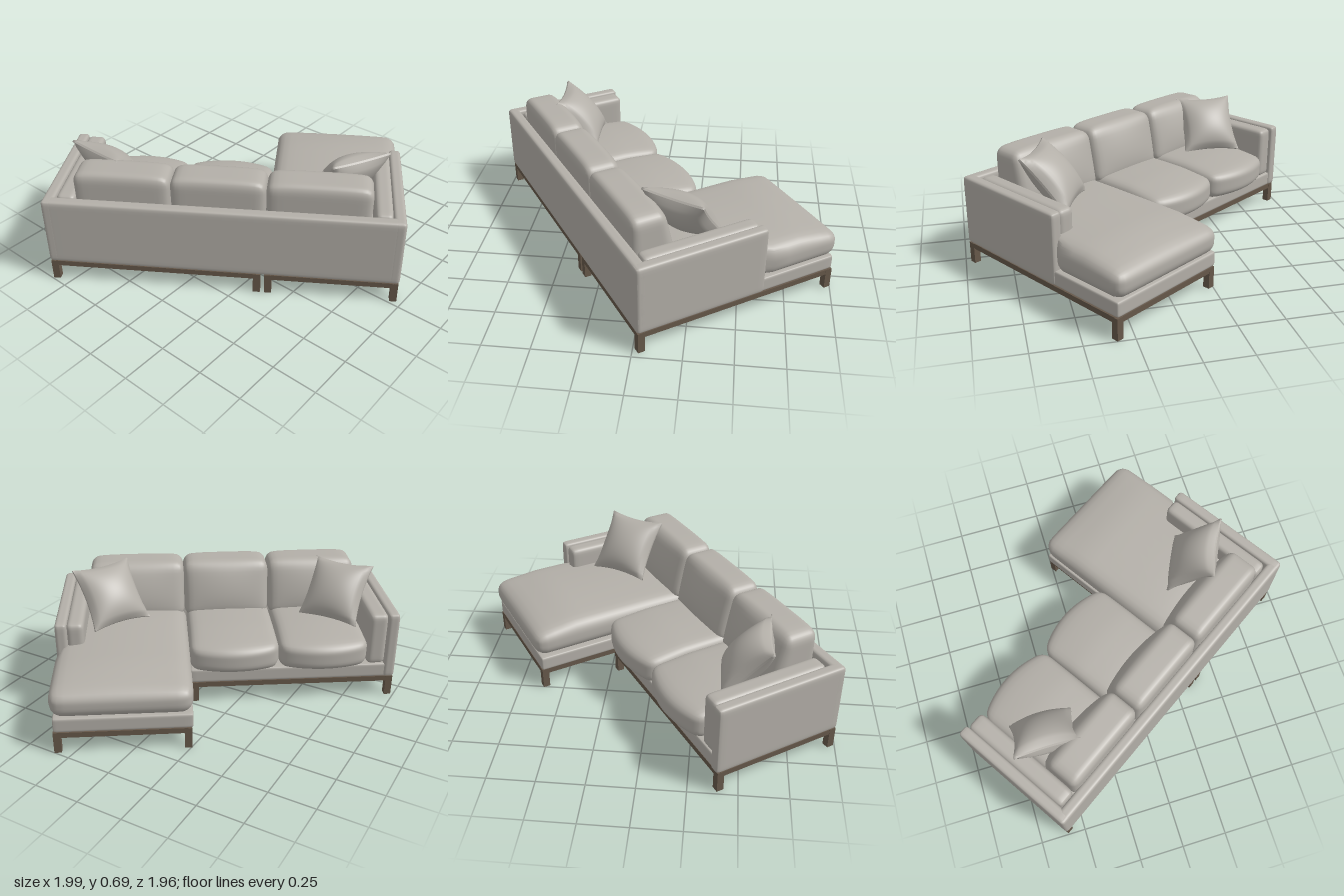
import * as THREE from 'three';
import { mergeVertices } from 'three/addons/utils/BufferGeometryUtils.js';

const fabric = new THREE.MeshStandardMaterial({ color: 0xb3afa8 });
fabric.name = 'warm grey fabric';
const wood = new THREE.MeshStandardMaterial({ color: 0x66584a });
wood.name = 'dark wood';

// Subdivided box whose points are moved by a rule, with smooth normals
function moulded(segments, rule) {
  let geo = new THREE.BoxGeometry(2, 2, 2, segments, segments, segments);
  const pos = geo.attributes.position;
  const p = new THREE.Vector3();
  for (let i = 0; i < pos.count; i++) {
    p.fromBufferAttribute(pos, i);
    rule(p);
    pos.setXYZ(i, p.x, p.y, p.z);
  }
  geo.deleteAttribute('uv');
  geo.deleteAttribute('normal');
  geo = mergeVertices(geo, 1e-5);
  geo.computeVertexNormals();
  return geo;
}

// Rounded block between two corners; shape(p, u) bends it, u runs -1..1 on each axis
function soft(name, min, max, radius, shape) {
  const lo = new THREE.Vector3(...min), hi = new THREE.Vector3(...max);
  const mid = lo.clone().add(hi).multiplyScalar(0.5);
  const half = hi.clone().sub(lo).multiplyScalar(0.5);
  const inner = half.clone().subScalar(radius);
  const core = new THREE.Vector3();
  const geo = moulded(18, (p) => {
    // gather the grid lines towards the edges
    p.set(...p.toArray().map((t) => Math.sin((t * Math.PI) / 2))).multiply(half);
    core.copy(p).clamp(inner.clone().negate(), inner);
    p.sub(core).setLength(radius).add(core);
    const u = p.clone().divide(half);
    p.add(mid);
    if (shape) shape(p, u);
  });
  const mesh = new THREE.Mesh(geo, fabric);
  mesh.name = name;
  return mesh;
}

// Square throw pillow with pointed corners, placed by its width and height directions
function throwPillow(name, centre, across, up) {
  const geo = moulded(20, (p) => {
    const { x, y, z } = p;
    const a = 1 - x * x, b = 1 - y * y;
    const puff = 0.085 * Math.pow(a * b, 0.55) + 0.006;
    p.set(0.175 * x * (1 - 0.1 * b), 0.185 * y * (1 - 0.1 * a), z * puff);
  });
  const mesh = new THREE.Mesh(geo, fabric);
  mesh.name = name;
  const ax = new THREE.Vector3(...across).normalize();
  const az = ax.clone().cross(new THREE.Vector3(...up)).normalize();
  const ay = az.clone().cross(ax);
  mesh.quaternion.setFromRotationMatrix(new THREE.Matrix4().makeBasis(ax, ay, az));
  mesh.position.set(...centre);
  return mesh;
}

function woodBox(name, w, h, d, x, y, z) {
  const mesh = new THREE.Mesh(new THREE.BoxGeometry(w, h, d), wood);
  mesh.name = name;
  mesh.position.set(x, y, z);
  return mesh;
}

// Rectangular rail frame with a leg under each corner
function legFrame(name, x0, x1, z0, z1) {
  const g = new THREE.Group();
  g.name = name;
  const t = 0.036, cx = (x0 + x1) / 2, cz = (z0 + z1) / 2;
  for (const x of [x0, x1]) {
    g.add(woodBox('sideRail', t, 0.03, z1 - z0, x, 0.105, cz));
    for (const z of [z0, z1]) g.add(woodBox('leg', t + 0.002, 0.119, t + 0.002, x, 0.0595, z));
  }
  for (const z of [z0, z1]) g.add(woodBox('crossRail', x1 - x0, 0.03, t, cx, 0.105, z));
  return g;
}

export function createModel() {
  const root = new THREE.Group();
  root.name = 'sectionalSofa';

  // Sofa frame: x runs along the back from the chaise end, z runs from the back forwards
  const sofa = new THREE.Group();
  sofa.name = 'sofaBody';
  sofa.rotation.y = 2.15;
  sofa.position.set(0.03, 0, 0.98);
  root.add(sofa);

  const L = 1.885, split = 0.725, armD = 0.73, floor = 0.12;

  // Outer shell and plinths
  sofa.add(
    soft('backPanel', [0, floor, 0], [L, 0.51, 0.065], 0.02),
    soft('chaiseArm', [0, floor, 0], [0.065, 0.51, armD], 0.02),
    soft('farArm', [L - 0.065, floor, 0], [L, 0.51, armD], 0.02),
    soft('chaiseBase', [0.008, floor, 0.02], [split - 0.003, 0.205, 1.165], 0.014),
    soft('seatBase', [split + 0.003, floor, 0.02], [L - 0.02, 0.205, armD - 0.008], 0.014)
  );

  // Padding inside the arms
  sofa.add(
    soft('chaiseArmPad', [0.06, 0.2, 0.07], [0.155, 0.505, armD - 0.01], 0.03),
    soft('farArmPad', [L - 0.165, 0.2, 0.07], [L - 0.06, 0.505, armD - 0.01], 0.03)
  );

  // Seat cushions with crowned tops; the two short ones bulge at the front
  const crown = (p, u, h) => {
    if (u.y > 0) p.y += h * u.y * (1 - u.x * u.x) * (1 - u.z ** 4);
  };
  sofa.add(soft('chaiseCushion', [-0.005, 0.203, 0.2], [split, 0.372, 1.185], 0.07, (p, u) => {
    crown(p, u, 0.026);
    if (u.y > 0 && u.z > 0.5) p.y -= 0.025 * u.y * (u.z - 0.5) * 2;
    if (p.z < armD) p.x = Math.max(p.x, 0.05); // notch around the arm
  }));
  for (const [x0, x1] of [[split, 1.222], [1.222, L - 0.165]]) {
    sofa.add(soft('seatCushion', [x0, 0.203, 0.2], [x1, 0.368, 0.735], 0.05, (p, u) => {
      crown(p, u, 0.018);
      if (u.z > 0) p.z += 0.062 * u.z * (1 - u.x * u.x);
      if (u.y > 0 && u.z > 0.2) p.y -= 0.025 * u.y * (u.z - 0.2);
    }));
  }

  // Back cushions taper towards the top and puff out in front
  for (const [x0, x1] of [[0.17, 0.715], [0.715, 1.212], [1.212, 1.72]]) {
    sofa.add(soft('backCushion', [x0, 0.33, 0.06], [x1, 0.645, 0.3], 0.05, (p, u) => {
      const t = (u.y + 1) / 2;
      if (u.z > 0) p.z += 0.035 * u.z * (1 - u.x * u.x) * (1 - u.y * u.y);
      if (u.y > 0) p.y += 0.012 * u.y * (1 - u.x ** 4);
      p.z = 0.06 + (p.z - 0.06) * (1.06 - 0.28 * t);
    }));
  }

  // Wooden frames, one under each half
  sofa.add(
    legFrame('chaiseLegs', 0.025, split - 0.03, 0.025, 1.145),
    legFrame('seatLegs', split + 0.03, L - 0.025, 0.025, armD - 0.03)
  );

  // Loose pillows in the two corners
  root.add(
    throwPillow('farPillow', [-0.515, 0.515, -0.565], [0, 0, -1], [-0.24, 0.29, 0]),
    throwPillow('chaisePillow', [0.21, 0.54, 0.51], [0.31, 0, 0.15], [-0.125, 0.275, 0.195])
  );
  return root;
}
